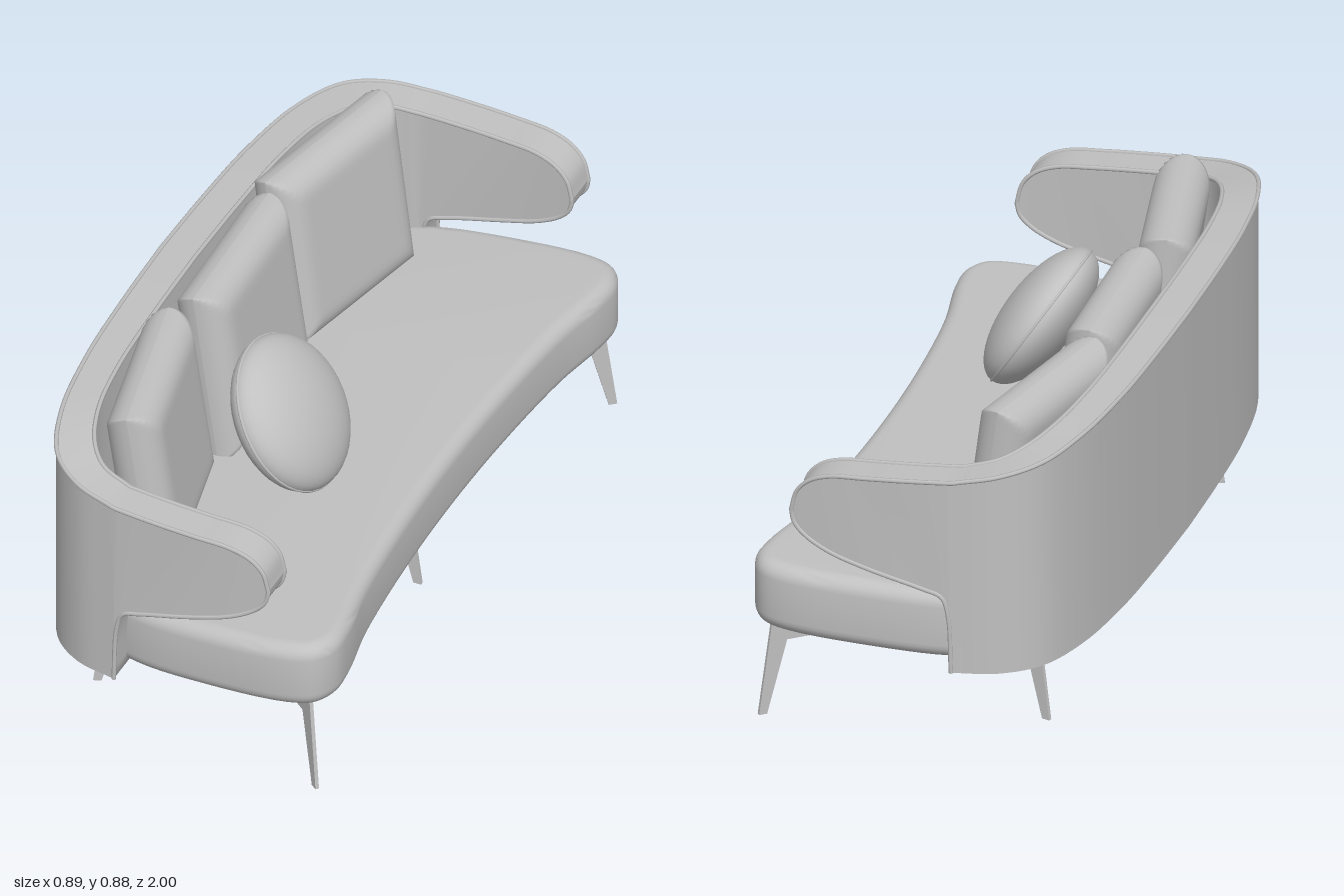
import * as THREE from 'three';
import { mergeGeometries, toCreasedNormals } from 'three/addons/utils/BufferGeometryUtils.js';

const V = (x, y, z) => new THREE.Vector3(x, y, z);
const spline = (pts) => new THREE.CatmullRomCurve3(pts, false, 'centripetal');
const mirrorZ = (p) => V(p.x, p.y, -p.z);

export function createModel() {
  const fabric = new THREE.MeshStandardMaterial({ color: 0xc0c0c0 });
  fabric.name = 'light grey';
  const sofa = new THREE.Group();
  sofa.name = 'sofa';
  const add = (name, geo, parent = sofa) => {
    const mesh = new THREE.Mesh(geo, fabric);
    mesh.name = name;
    parent.add(mesh);
    return mesh;
  };

  // Curved shell: each section is [outer bottom, outer top, inner top, inner bottom]
  const outerZ = (x) => 0.993 - 0.2 * (x - 0.05) ** 2;
  const wall = 0.1;
  const backOuter = spline([
    V(-0.44, 0.838, 0), V(-0.435, 0.835, 0.25), V(-0.422, 0.83, 0.5), V(-0.388, 0.82, 0.73),
    V(-0.33, 0.803, 0.88), V(-0.24, 0.784, 0.955), V(-0.125, 0.765, outerZ(-0.125))]);
  const backInner = spline([
    V(-0.345, 0.838, 0), V(-0.342, 0.835, 0.25), V(-0.332, 0.83, 0.5), V(-0.307, 0.82, 0.68),
    V(-0.265, 0.803, 0.795), V(-0.21, 0.784, 0.858), V(-0.125, 0.765, outerZ(-0.125) - wall)]);
  const armTop = spline([
    [-0.125, 0.765], [0, 0.755], [0.1, 0.747], [0.2, 0.737], [0.255, 0.715], [0.288, 0.68], [0.303, 0.625],
  ].map(([x, y]) => V(x, y, 0)));
  const armBottom = spline([
    [-0.125, 0.23], [-0.117, 0.39], [-0.1, 0.44], [-0.05, 0.458], [0.1, 0.495], [0.2, 0.525],
    [0.265, 0.56], [0.295, 0.592], [0.303, 0.625],
  ].map(([x, y]) => V(x, y, 0)));

  const half = [];
  const backSteps = 30, armSteps = 40;
  for (let i = 0; i < backSteps; i++) {
    const o = backOuter.getPoint(i / backSteps), n = backInner.getPoint(i / backSteps);
    half.push([V(o.x, 0.23, o.z), o, n, V(n.x, 0.23, n.z)]);
  }
  for (let i = 0; i <= armSteps; i++) {
    const t = armTop.getPoint(i / armSteps), b = armBottom.getPoint(i / armSteps);
    half.push([
      V(b.x, b.y, outerZ(b.x)), V(t.x, t.y, outerZ(t.x)),
      V(t.x, t.y, outerZ(t.x) - wall), V(b.x, b.y, outerZ(b.x) - wall)]);
  }
  const sections = [...half.slice(1).reverse().map((s) => s.map(mirrorZ)), ...half];

  const strips = [0, 1, 2, 3].map((k) => {
    const pos = [], index = [];
    sections.forEach((s, i) => {
      pos.push(...s[k].toArray(), ...s[(k + 1) % 4].toArray());
      if (i < sections.length - 1) {
        const a = 2 * i;
        index.push(a, a + 2, a + 1, a + 1, a + 2, a + 3);
      }
    });
    const g = new THREE.BufferGeometry();
    g.setAttribute('position', new THREE.Float32BufferAttribute(pos, 3));
    g.setIndex(index);
    g.computeVertexNormals();
    return g;
  });
  add('backAndArmShell', mergeGeometries(strips));

  // Piping along both rims, around the arm noses and down to the base
  const piping = (name, top, bottom) => {
    const down = half.slice(backSteps, -1).map((s) => s[bottom]);
    const path = [...down.map(mirrorZ), ...sections.map((s) => s[top]), ...down.slice().reverse()];
    add(name, new THREE.TubeGeometry(spline(path), 420, 0.006, 6));
  };
  piping('outerPiping', 1, 0);
  piping('innerPiping', 2, 3);

  // Seat: bowed front edge, rounded rim, slightly raised toward the front
  const side = [
    [0.372, 0], [0.38, 0.3], [0.405, 0.6], [0.437, 0.78], [0.438, 0.86], [0.405, 0.92], [0.33, 0.947],
    [0.1, 0.947], [-0.1, 0.92], [-0.22, 0.86], [-0.3, 0.74], [-0.338, 0.5], [-0.35, 0]];
  const rim = [...side, ...side.slice(1, -1).reverse().map(([x, z]) => [x, -z])];
  const loop = new THREE.CatmullRomCurve3(rim.map(([x, z]) => V(x, z, 0)), true, 'centripetal');
  const outline = loop.getPoints(120).slice(0, -1).map((p) => new THREE.Vector2(p.x, p.y));
  const seat = new THREE.ExtrudeGeometry(new THREE.Shape(outline), {
    depth: 0.106, bevelThickness: 0.04, bevelSize: 0.04, bevelOffset: -0.04, bevelSegments: 6 });
  seat.rotateX(-Math.PI / 2);
  const sp = seat.attributes.position;
  for (let i = 0; i < sp.count; i++) sp.setY(i, sp.getY(i) + 0.274 + 0.047 * sp.getX(i));
  add('seat', toCreasedNormals(seat, 0.7));

  // Back cushions: square faces that round over to a mitred edge
  const cushionFace = (sign) => {
    const g = new THREE.PlaneGeometry(2, 2, 28, 28);
    const p = g.attributes.position, r = 0.07, h = 0.072;
    for (let i = 0; i < p.count; i++) {
      const z = 0.25 * Math.sin(p.getX(i) * Math.PI / 2);
      const y = 0.245 * Math.sin(p.getY(i) * Math.PI / 2);
      const d = Math.max(0, Math.min(0.25 - Math.abs(z), 0.245 - Math.abs(y), r));
      p.setXYZ(i, sign * h * Math.sqrt(1 - (1 - d / r) ** 2), y, -sign * z);
    }
    g.computeVertexNormals();
    return g;
  };
  const cushion = mergeGeometries([cushionFace(1), cushionFace(-1)]);
  [['leftBackCushion', -0.205, 0.525, 0.21], ['middleBackCushion', -0.222, -0.02, 0.03],
    ['rightBackCushion', -0.205, -0.54, -0.21]].forEach(([name, x, z, turn]) => {
    const m = add(name, cushion);
    m.position.set(x, 0.641, z);
    m.rotation.set(0, turn, 0.14);
  });

  // Round scatter cushion with a seam
  const round = new THREE.Group();
  round.name = 'roundCushion';
  add('roundCushionBody', new THREE.SphereGeometry(1, 40, 24).rotateZ(Math.PI / 2).scale(0.094, 0.208, 0.208), round);
  add('roundCushionSeam', new THREE.TorusGeometry(0.207, 0.004, 6, 48).rotateY(Math.PI / 2), round);
  round.position.set(0.037, 0.634, 0.26);
  round.rotation.z = 0.586;
  sofa.add(round);

  // Legs: flat bracket and tapered blade, splayed outward
  const legShape = new THREE.Shape([
    [-0.135, 0.2], [-0.042, 0.2], [0.013, 0], [0.035, 0], [0, 0.25], [-0.135, 0.25],
  ].map(([u, y]) => new THREE.Vector2(u, y)));
  const leg = new THREE.ExtrudeGeometry(legShape, { depth: 0.01, bevelEnabled: false }).translate(0, 0, -0.005);
  [['frontMiddleLeg', 0.25, 0, 0], ['backMiddleLeg', -0.165, 0, Math.PI],
    ['frontLeftLeg', 0.384, 0.895, 0.7], ['frontRightLeg', 0.384, -0.895, -0.7],
    ['backLeftLeg', -0.27, 0.71, Math.PI - 0.3], ['backRightLeg', -0.27, -0.71, Math.PI + 0.3],
  ].forEach(([name, x, z, angle]) => {
    const m = add(name, leg);
    m.position.set(x, 0, z);
    m.rotation.y = -angle;
  });

  return sofa;
}
